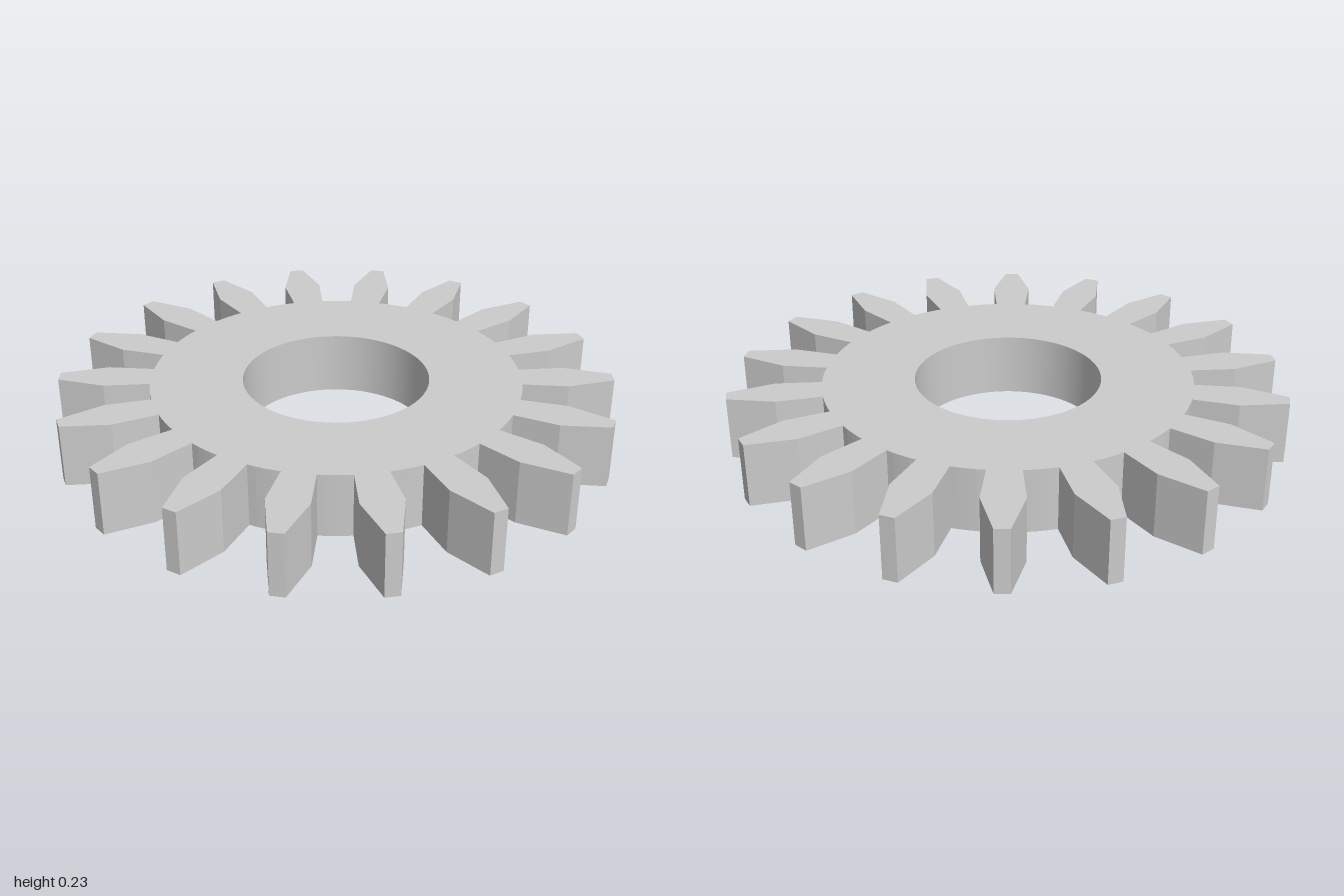
import * as THREE from 'three';

const TEETH = 18, HEIGHT = 0.232, ROOT = 0.668, BORE = 0.336;

// Right flank of one tooth as [half width, distance from centre], root to tip
const FLANK = [[0.058, 0.665], [0.072, 0.83], [0.026, 1]];

function gearOutline() {
  const points = [];
  const step = (Math.PI * 2) / TEETH;
  const rootAngle = Math.atan2(FLANK[0][0], FLANK[0][1]);
  const tooth = [
    ...FLANK.map(([w, r]) => [r, -w]),
    ...[...FLANK].reverse().map(([w, r]) => [r, w]),
  ];
  for (let i = 0; i < TEETH; i++) {
    const a = Math.PI / 2 + i * step;
    for (const [r, w] of tooth) {
      points.push(new THREE.Vector2(r, w).rotateAround(new THREE.Vector2(), a));
    }
    // Rounded valley floor up to the next tooth
    for (let k = 1; k < 4; k++) {
      const b = a + rootAngle + (step - 2 * rootAngle) * (k / 4);
      points.push(new THREE.Vector2(Math.cos(b) * ROOT, Math.sin(b) * ROOT));
    }
  }
  return points;
}

export function createModel() {
  const group = new THREE.Group();
  group.name = 'spurGear';

  // Toothed disc with a round bore
  const shape = new THREE.Shape(gearOutline());
  shape.holes.push(new THREE.Path().absarc(0, 0, BORE, 0, Math.PI * 2, true));
  const geometry = new THREE.ExtrudeGeometry(shape, {
    depth: HEIGHT, bevelEnabled: false, curveSegments: 32,
  });
  geometry.rotateX(-Math.PI / 2);

  // Smooth the bore wall by pointing its normals at the axis
  const { position, normal } = geometry.attributes;
  for (let i = 0; i < position.count; i++) {
    const x = position.getX(i), z = position.getZ(i), r = Math.hypot(x, z);
    if (r < BORE + 0.01 && Math.abs(normal.getY(i)) < 0.5) {
      normal.setXYZ(i, -x / r, 0, -z / r);
    }
  }

  const gear = new THREE.Mesh(geometry, new THREE.MeshStandardMaterial({ color: 0xcccccc }));
  gear.name = 'toothedDisc';
  group.add(gear);
  return group;
}
